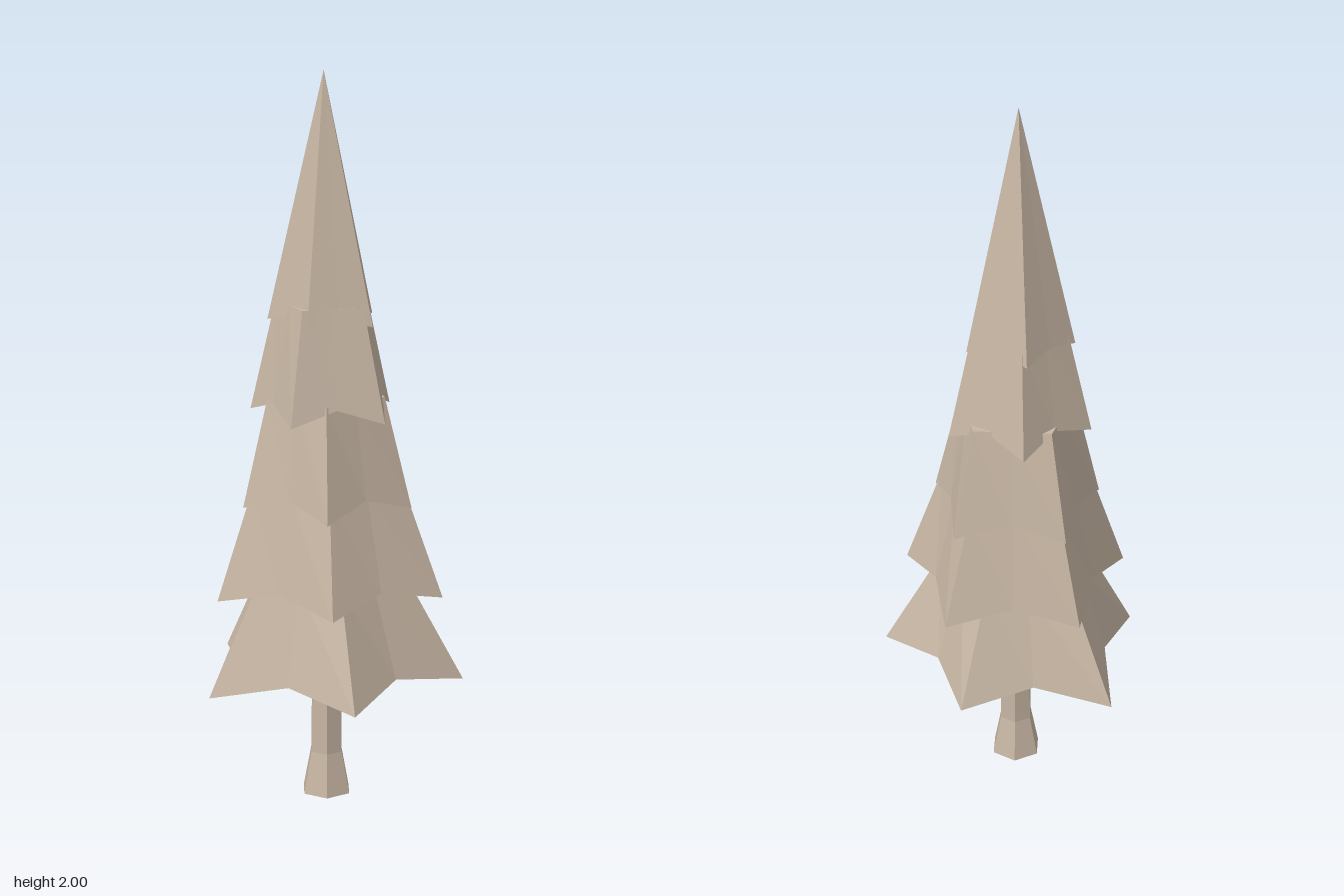
import * as THREE from 'three';

// Each tier: tip height, notch inset, and the five branch tips as [x, z];
// the skirt narrows to "topScale" after climbing "rise".
const TIERS = [
  { y: 0.34, inset: 0.84, rise: 0.3, topScale: 0.57,
    tips: [[-0.357, -0.083], [-0.02, -0.32], [0.355, -0.147], [0.232, 0.255], [-0.178, 0.317]] },
  { y: 0.59, inset: 0.89, rise: 0.3, topScale: 0.67,
    tips: [[-0.27, -0.113], [0.035, -0.31], [0.325, -0.075], [0.163, 0.25], [-0.193, 0.243]] },
  { y: 0.84, inset: 0.91, rise: 0.3, topScale: 0.69,
    tips: [[-0.22, -0.108], [0.043, -0.252], [0.245, -0.042], [0.13, 0.218], [-0.152, 0.172]] },
  { y: 1.09, inset: 0.93, rise: 0.3, topScale: 0.65,
    tips: [[-0.123, -0.165], [0.117, -0.16], [0.215, 0.058], [0.023, 0.222], [-0.183, 0.075]] },
  { y: 1.34, inset: 0.96, rise: 0.66, topScale: 0,
    tips: [[-0.1, -0.115], [0.08, -0.127], [0.163, 0.03], [0.03, 0.145], [-0.132, 0.07]] },
];

// Ten-point ring alternating branch tips and the notches between them
function starRing(tips, scale, inset, tipY, notchY) {
  const ring = [];
  tips.forEach(([x, z], i) => {
    const [nx, nz] = tips[(i + 1) % tips.length];
    const m = scale * inset / 2;
    ring.push([x * scale, tipY, z * scale], [(x + nx) * m, notchY, (z + nz) * m]);
  });
  return ring;
}

// Joins rings from the hollow underside, round the rim, up to the top
function tierGeometry({ y, inset, rise, topScale, tips }) {
  const notchY = y + (topScale ? 0.04 : 0.02);
  const under = y + (topScale ? 0.11 : 0.08);
  const top = y + rise;
  const rings = [
    starRing(tips, 0, 1, under, under),
    starRing(tips, 0.42, 1, under, under),
    starRing(tips, 1, inset, y, notchY),
    starRing(tips, topScale, 1, top, top),
  ];
  if (topScale) rings.push(starRing(tips, 0, 1, top, top));

  const pos = [];
  for (let r = 0; r < rings.length - 1; r++) {
    const lo = rings[r], hi = rings[r + 1];
    for (let i = 0; i < lo.length; i++) {
      const j = (i + 1) % lo.length;
      const hiIsPoint = r > 0 && r === rings.length - 2;
      if (!hiIsPoint) pos.push(...lo[i], ...hi[i], ...hi[j]);
      if (r > 0) pos.push(...lo[i], ...hi[j], ...lo[j]);
    }
  }
  const geo = new THREE.BufferGeometry();
  geo.setAttribute('position', new THREE.Float32BufferAttribute(pos, 3));
  geo.computeVertexNormals();
  return geo;
}

export function createModel() {
  const tree = new THREE.Group();
  tree.name = 'pineTree';
  const wood = new THREE.MeshStandardMaterial({ color: 0xc6b5a3 });
  wood.name = 'paleWood';

  // Foliage tiers, bottom to top
  TIERS.forEach((tier, i) => {
    const mesh = new THREE.Mesh(tierGeometry(tier), wood);
    mesh.name = `foliageTier${i + 1}`;
    tree.add(mesh);
  });

  // Six-sided trunk with a flared foot
  const trunk = new THREE.Group();
  trunk.name = 'trunk';
  const addSection = (name, rTop, rBottom, y0, y1, open) => {
    const geo = new THREE.CylinderGeometry(rTop, rBottom, y1 - y0, 6, 1, open, Math.PI / 6).toNonIndexed();
    geo.computeVertexNormals();
    const mesh = new THREE.Mesh(geo, wood);
    mesh.name = name;
    mesh.position.set(0.009, (y0 + y1) / 2, 0);
    trunk.add(mesh);
  };
  addSection('trunkFoot', 0.048, 0.072, 0, 0.12, false);
  addSection('trunkStem', 0.043, 0.048, 0.12, 0.5, true);
  tree.add(trunk);

  return tree;
}
